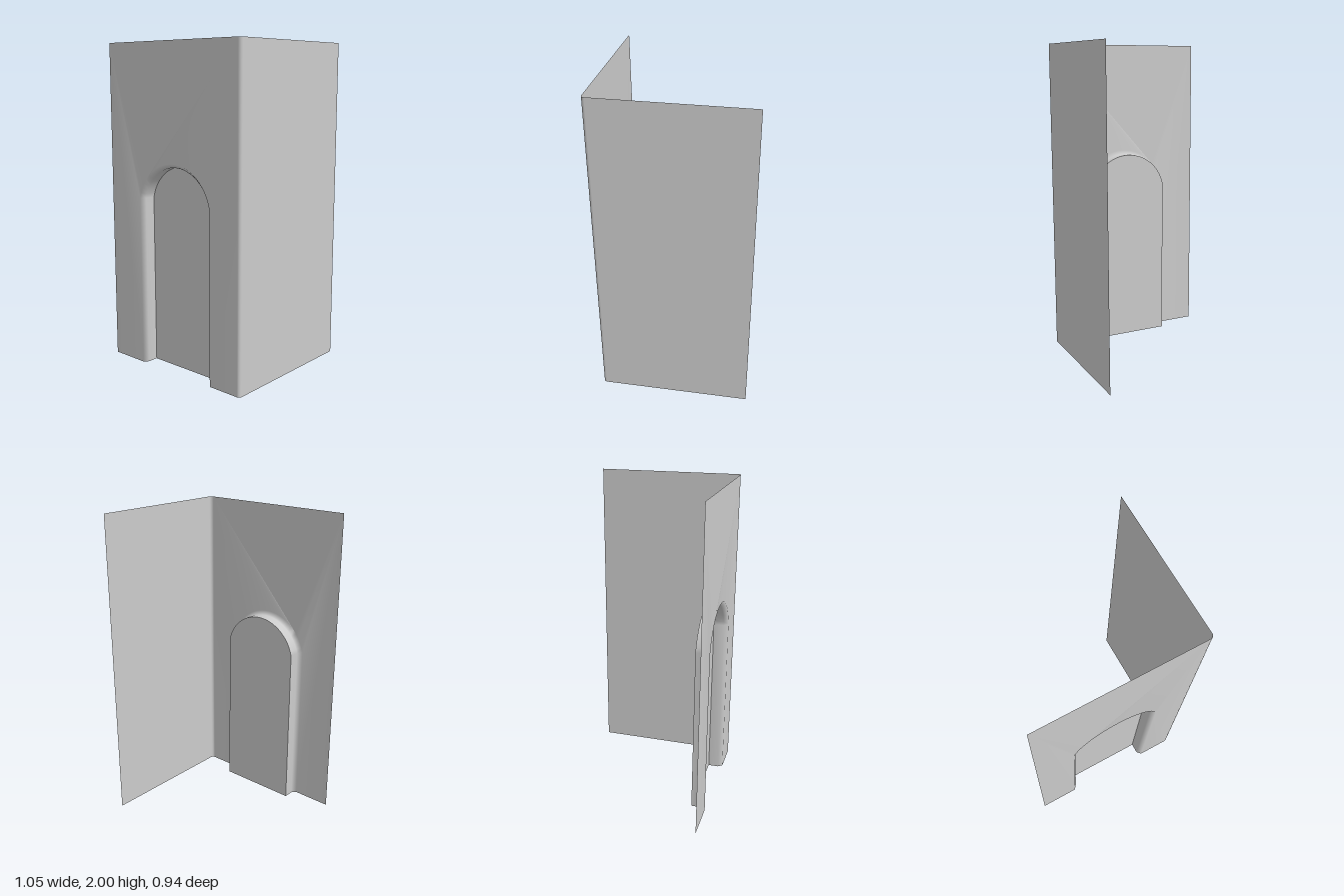
import * as THREE from 'three';
import { mergeGeometries, mergeVertices } from 'three/addons/utils/BufferGeometryUtils.js';

const LEFT = -0.527, RIGHT = 0.527, TOP = 2, FRONT = 0.469, BACK = -0.469;
const CORNER = 0.02;                       // rounding of the wall corner
const ARCH = { x: 0.012, half: 0.263, spring: 1.06, top: 1.268 };
const FLARE = 0.024, FLARE_Z = 0.442, PANEL_Z = 0.376;

// Outline of the arch from lower left, over the crown, to lower right
function archPoints(offset, segments = 24) {
  const rise = ARCH.top - ARCH.spring;
  const r = (ARCH.half ** 2 + rise ** 2) / (2 * rise);
  const cy = ARCH.top - r, R = r + offset, half = ARCH.half + offset;
  const a = Math.asin(half / R);
  const pts = [new THREE.Vector2(ARCH.x - half, 0)];
  for (let i = 0; i <= segments; i++) {
    const t = -a + (2 * a * i) / segments;
    pts.push(new THREE.Vector2(ARCH.x + R * Math.sin(t), cy + R * Math.cos(t)));
  }
  pts.push(new THREE.Vector2(ARCH.x + half, 0));
  return pts;
}

// Skin between successive rows of points
function skin(rows) {
  const n = rows[0].length, index = [];
  for (let r = 0; r < rows.length - 1; r++) {
    for (let i = 0; i < n - 1; i++) {
      const a = r * n + i, b = a + n;
      index.push(a, b, a + 1, a + 1, b, b + 1);
    }
  }
  const g = new THREE.BufferGeometry().setFromPoints(rows.flat());
  g.setIndex(index);
  return g;
}

// Flat face at a given depth
function face(points, z) {
  const g = new THREE.ShapeGeometry(new THREE.Shape(points));
  g.translate(0, 0, z);
  return g;
}

export function createModel() {
  const group = new THREE.Group();
  const material = new THREE.MeshStandardMaterial({ color: 0xcccccc, side: THREE.DoubleSide });

  // Front wall, notched by the arch
  const frontWall = face([
    ...archPoints(FLARE),
    new THREE.Vector2(RIGHT - CORNER, 0),
    new THREE.Vector2(RIGHT - CORNER, TOP),
    new THREE.Vector2(LEFT, TOP),
    new THREE.Vector2(LEFT, 0),
  ], FRONT);

  // Flared mouth and straight reveal of the arch
  const reveal = skin([[FLARE, FRONT], [0, FLARE_Z], [0, PANEL_Z]].map(([o, z]) =>
    archPoints(o).map((p) => new THREE.Vector3(p.x, p.y, z))));

  // Rounded corner running into the side wall
  const plan = [];
  for (let i = 0; i <= 3; i++) {
    const t = (i / 3) * Math.PI / 2;
    plan.push([RIGHT - CORNER * (1 - Math.sin(t)), FRONT - CORNER * (1 - Math.cos(t))]);
  }
  plan.push([RIGHT, BACK]);
  const sideWall = skin([TOP, 0].map((y) => plan.map(([x, z]) => new THREE.Vector3(x, y, z))));

  // Weld the walls so their shading runs smoothly through the bends
  const parts = [frontWall, reveal, sideWall];
  parts.forEach((g) => { g.deleteAttribute('normal'); g.deleteAttribute('uv'); });
  const walls = mergeVertices(mergeGeometries(parts), 1e-4);
  walls.computeVertexNormals();

  const wallMesh = new THREE.Mesh(walls, material);
  wallMesh.name = 'cornerWalls';
  const panel = new THREE.Mesh(face(archPoints(0), PANEL_Z), material);
  panel.name = 'archPanel';
  group.add(wallMesh, panel);
  return group;
}
